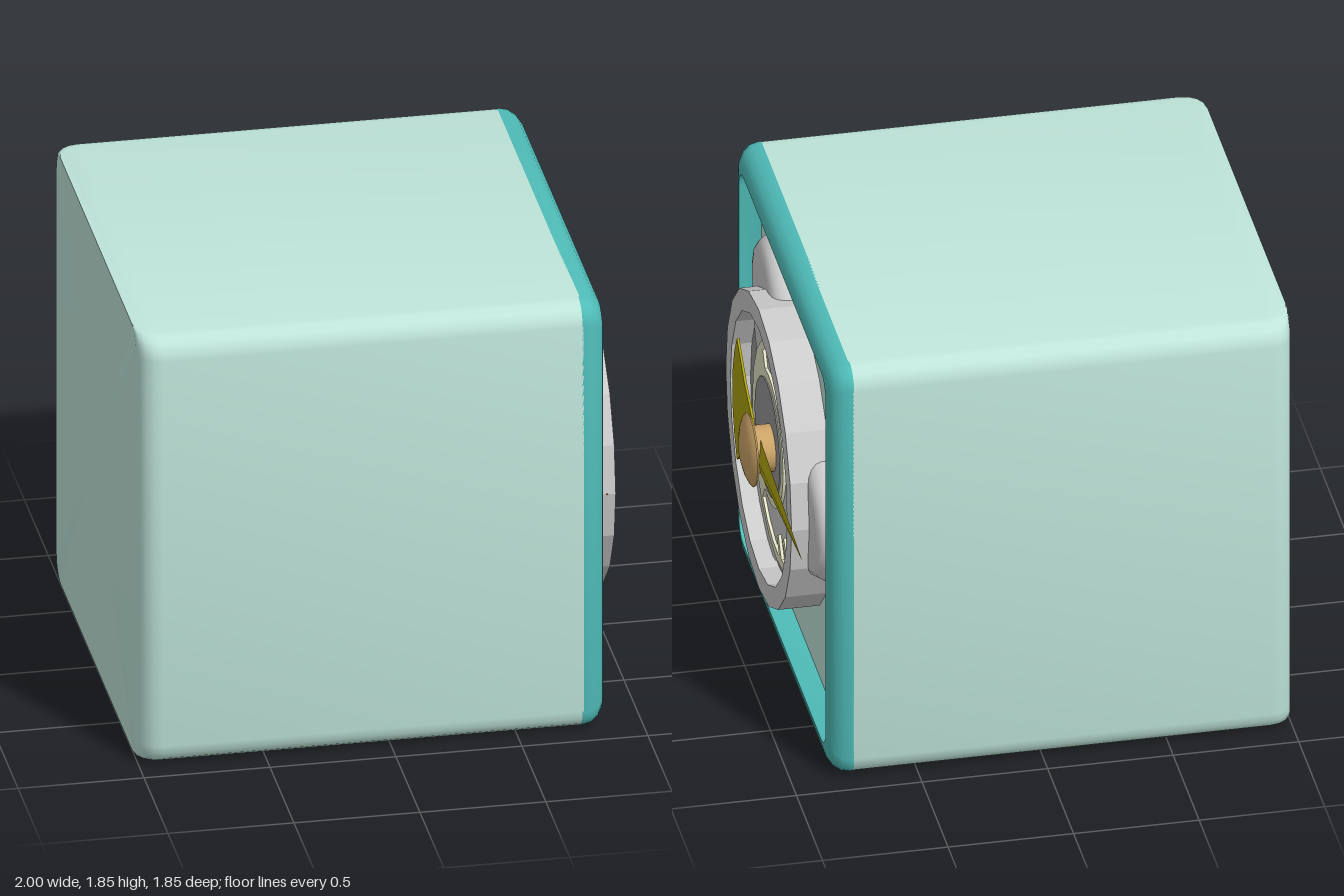
import * as THREE from 'three';
import { toCreasedNormals } from 'three/addons/utils/BufferGeometryUtils.js';

const mat = (color, side = THREE.FrontSide) => new THREE.MeshStandardMaterial({ color, side });
const MINT = mat(0xbfe5da), TEAL = mat(0x4fbcb8, THREE.DoubleSide), GREY = mat(0xcccccc), DARK = mat(0x999999);
const CREAM = mat(0xe6e6c8), YELLOW = mat(0xb0a510), BRASS = mat(0xcca468), RED = mat(0xc0502a);

function add(parent, name, geometry, material, crease = 0.6) {
  const mesh = new THREE.Mesh(toCreasedNormals(geometry, crease), material);
  mesh.name = name;
  parent.add(mesh);
  return mesh;
}

// Points on an arc, angles in degrees
function arc(cx, cy, r, from, to, n) {
  return Array.from({ length: n + 1 }, (_, i) => {
    const a = THREE.MathUtils.degToRad(from + (to - from) * i / n);
    return new THREE.Vector2(cx + r * Math.cos(a), cy + r * Math.sin(a));
  });
}

// Rounded rectangle of half sizes hx, hy
function roundedRect(hx, hy, r, n = 4) {
  const corners = [[1, 1], [-1, 1], [-1, -1], [1, -1]];
  return corners.flatMap(([sx, sy], k) => arc(sx * (hx - r), sy * (hy - r), r, k * 90, k * 90 + 90, n));
}

// Skin through rounded rectangles; a section is [depth, hx, hy, scale]
function loft(sections, r) {
  const pos = [], index = [];
  let n = 0;
  sections.forEach(([z, hx, hy, s = 1]) => {
    const ring = roundedRect(hx, hy, r);
    n = ring.length;
    ring.forEach(p => pos.push(p.x * s, p.y * s, z));
  });
  for (let i = 0; i < sections.length - 1; i++) {
    for (let j = 0; j < n; j++) {
      const a = i * n + j, b = i * n + (j + 1) % n;
      index.push(a, b, b + n, a, b + n, a + n);
    }
  }
  const g = new THREE.BufferGeometry();
  g.setAttribute('position', new THREE.Float32BufferAttribute(pos, 3));
  g.setIndex(index);
  return g;
}

// Turned part about the depth axis
function turned(points, segments) {
  return new THREE.LatheGeometry(points.map(p => new THREE.Vector2(...p)), segments).rotateX(Math.PI / 2);
}

function slab(points, depth, z, holes = []) {
  const shape = new THREE.Shape(points);
  holes.forEach(h => shape.holes.push(new THREE.Path(h)));
  return new THREE.ExtrudeGeometry(shape, { depth, bevelEnabled: false }).translate(0, 0, z);
}

export function createModel() {
  const model = new THREE.Group();
  model.name = 'dialBox';

  // Everything is built facing +z, then turned so the dial faces +x
  const box = new THREE.Group();
  box.name = 'box';
  box.rotation.y = Math.PI / 2;
  box.position.y = 0.925;
  model.add(box);

  // Body: rounded long edges, back rounded only on its upright edges
  const H = 0.925, R = 0.09;
  const body = [[-1, H - R, H, 0]];
  for (let i = 0; i <= 4; i++) {
    const t = i / 4 * Math.PI / 2;
    body.push([-1 + R * (1 - Math.cos(t)), H - R + R * Math.sin(t), H]);
  }
  body.push([0.76, H, H], [0.76, H, H, 0]);
  add(box, 'body', loft(body, R), MINT);

  // Rim around the recessed panel
  const rim = [[0.755, H, H]];
  for (let i = 0; i <= 4; i++) {
    const t = i / 4 * Math.PI / 2, h = H - 0.075 * (1 - Math.cos(t));
    rim.push([0.765 + 0.085 * Math.sin(t), h, h]);
  }
  rim.push([0.85, 0.836, 0.836], [0.755, 0.836, 0.836]);
  add(box, 'rim', loft(rim, 0.085), TEAL);

  const dial = new THREE.Group();
  dial.name = 'dial';
  dial.position.set(-0.09, 0, 0.76);
  box.add(dial);

  // Housing ring and dark floor
  add(dial, 'housing', turned([[0.634, 0], [0.634, 0.165], [0.545, 0.165], [0.545, 0.08]], 20), GREY, 0.25);
  add(dial, 'dialFloor', turned([[0.55, 0.07], [0.55, 0.085], [0, 0.085]], 20), DARK);

  // Three domed mounting lugs
  for (let k = 0; k < 3; k++) {
    const half = [[0.4, 0.22], [0.54, 0.21], [0.71, 0.13], [0.755, 0.07]];
    const outline = [...half.map(([x, y]) => [x, -y]), [0.77, 0], ...half.slice().reverse()];
    const g = new THREE.ExtrudeGeometry(new THREE.Shape(outline.map(p => new THREE.Vector2(...p))),
      { depth: 0.03, bevelThickness: 0.065, bevelSize: 0.06, bevelSegments: 4 });
    add(dial, 'lug', g, GREY, 0.8).rotation.z = k * Math.PI * 2 / 3;
  }

  // Scale plate with a crescent slot, set off-centre
  const C = 0.074, D = -0.079;
  const slot = [...arc(C, 0, 0.426, -128, 128, 18), ...arc(D, 0, 0.282, 104, -104, 16)];
  add(dial, 'slotFloor', slab(arc(C, 0, 0.44, 0, 342, 19), 0.01, 0.088), GREY);
  add(dial, 'scalePlate', slab(arc(C, 0, 0.465, 0, 342, 19), 0.02, 0.09, [slot]), CREAM);
  add(dial, 'hubDisc', slab(arc(D, 0, 0.243, 0, 342, 19), 0.01, 0.105), DARK);

  // Scale ticks, mirrored above and below
  const ticks = [[0.125, 0.385, 52], [0.24, 0.335, 38], [0.32, 0.255, 33], [0.385, 0.14, 17]];
  ticks.forEach(([x, y, deg]) => [1, -1].forEach(s => {
    const tick = add(dial, 'tick', new THREE.BoxGeometry(0.1, 0.038, 0.014), CREAM);
    tick.position.set(x, s * y, 0.103);
    tick.rotation.z = s * THREE.MathUtils.degToRad(deg);
  }));

  // Pointer: ridged needle and fan-shaped tail
  const needle = new THREE.ConeGeometry(0.082, 0.865, 4).rotateZ(-Math.PI / 2).scale(1, 1, 0.22);
  add(dial, 'needle', needle.translate(0.4325, 0, 0.17), YELLOW, 0.2);
  const tail = [...arc(0, 0, 0.475, 144.5, 215.5, 6), new THREE.Vector2(-0.24, -0.155),
    new THREE.Vector2(-0.1, -0.08), new THREE.Vector2(-0.1, 0.08), new THREE.Vector2(-0.24, 0.155)];
  add(dial, 'pointerTail', slab(tail, 0.01, 0.162), YELLOW);

  // Knob with a domed cap
  add(dial, 'knob', turned([[0.095, 0.1], [0.095, 0.195], [0.14, 0.192], [0.148, 0.2], [0.136, 0.21],
    [0.11, 0.222], [0.06, 0.235], [0, 0.24]], 24), BRASS);

  // Small index mark on the housing side
  const mark = new THREE.ConeGeometry(0.025, 0.04, 4).rotateZ(Math.PI / 2);
  add(dial, 'indexMark', mark.translate(-0.62, 0, 0.13), RED);

  return model;
}
